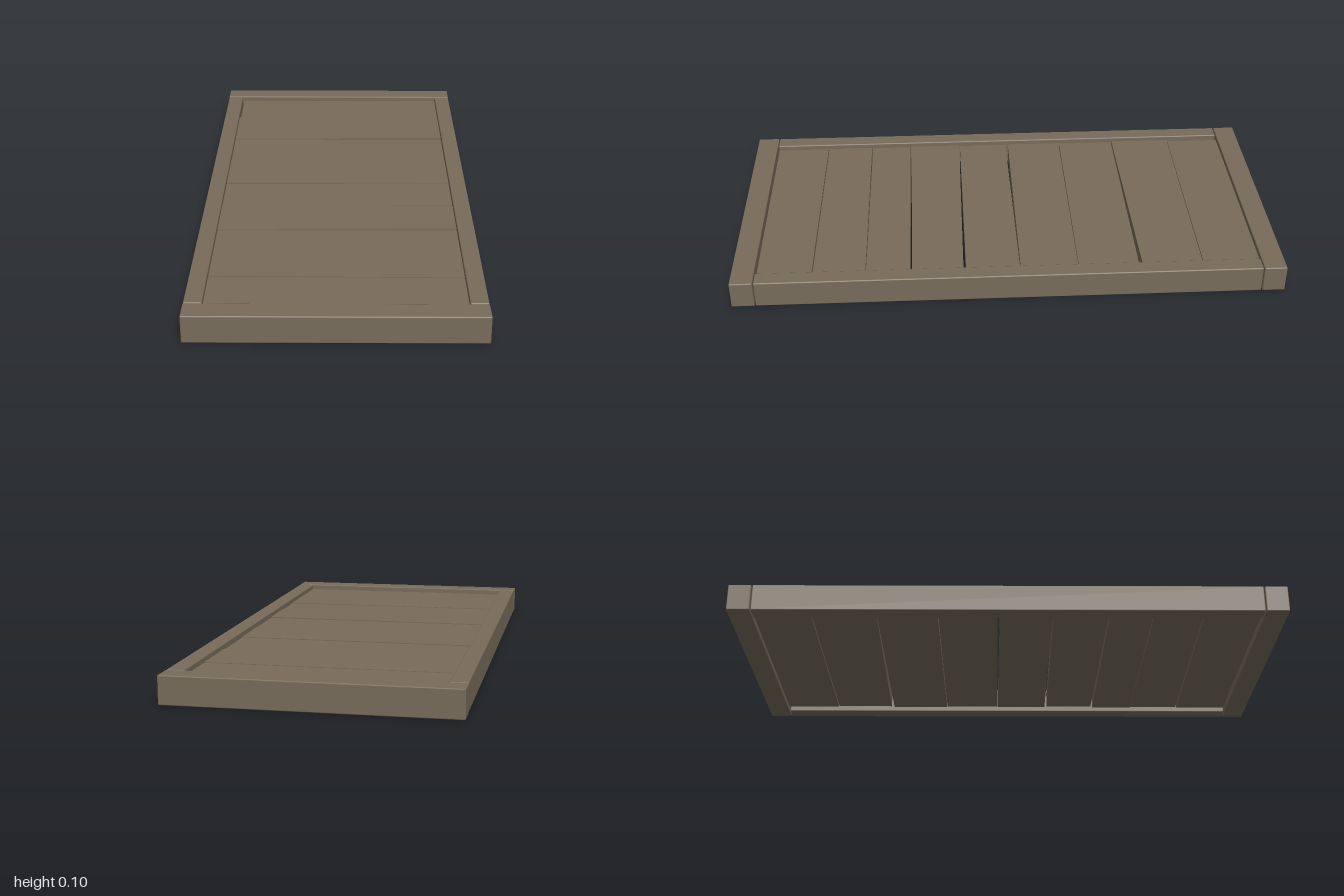
import * as THREE from 'three';
import { RoundedBoxGeometry } from 'three/addons/geometries/RoundedBoxGeometry.js';

export function createModel() {
  const model = new THREE.Group();
  model.name = 'plankPanel';
  const wood = new THREE.MeshStandardMaterial({ color: 0x786c5b });
  wood.name = 'weathered wood';

  // Frame beam with slightly eased edges
  function beam(name, w, d, x, z) {
    const mesh = new THREE.Mesh(new RoundedBoxGeometry(w, 0.1, d, 1, 0.004), wood);
    mesh.name = name;
    mesh.position.set(x, 0.05, z);
    model.add(mesh);
  }
  beam('frontRail', 0.998, 0.083, 0, 0.9585);
  beam('backRail', 0.998, 0.083, 0, -0.9585);
  beam('leftStile', 0.062, 1.828, 0.467, 0);
  beam('rightStile', 0.062, 1.828, -0.467, 0);

  // Seams between planks: z and gap at x = -0.44, then z and gap at x = +0.44
  const seams = [
    [-0.917, 0, -0.917, 0],
    [-0.71, 0.002, -0.708, 0.003],
    [-0.474, 0.002, -0.48, 0.012],
    [-0.253, 0.003, -0.252, 0.002],
    [-0.034, 0.01, -0.04, 0.002],
    [0.163, 0.003, 0.162, 0.009],
    [0.366, 0.003, 0.356, 0.008],
    [0.526, 0.004, 0.52, 0.002],
    [0.707, 0.003, 0.713, 0.004],
    [0.912, 0, 0.912, 0],
  ];
  const lift = [0, 0.002, -0.002, 0.001, -0.001, 0.002, -0.001, 0.001, 0];

  // Recessed planks, each cut a little out of square
  for (let i = 0; i < seams.length - 1; i++) {
    const [a, ga, b, gb] = seams[i];
    const [c, gc, d, gd] = seams[i + 1];
    const x0 = i === 0 ? -0.43 : -0.438;
    const shape = new THREE.Shape([
      new THREE.Vector2(x0, -(c - gc / 2)),
      new THREE.Vector2(0.438, -(d - gd / 2)),
      new THREE.Vector2(0.438, -(b + gb / 2)),
      new THREE.Vector2(x0, -(a + ga / 2)),
    ]);
    const geometry = new THREE.ExtrudeGeometry(shape, { depth: 0.06, bevelEnabled: false });
    geometry.rotateX(-Math.PI / 2);
    const plank = new THREE.Mesh(geometry, wood);
    plank.name = 'plank' + (i + 1);
    plank.position.y = 0.02 + lift[i];
    model.add(plank);
  }
  return model;
}
